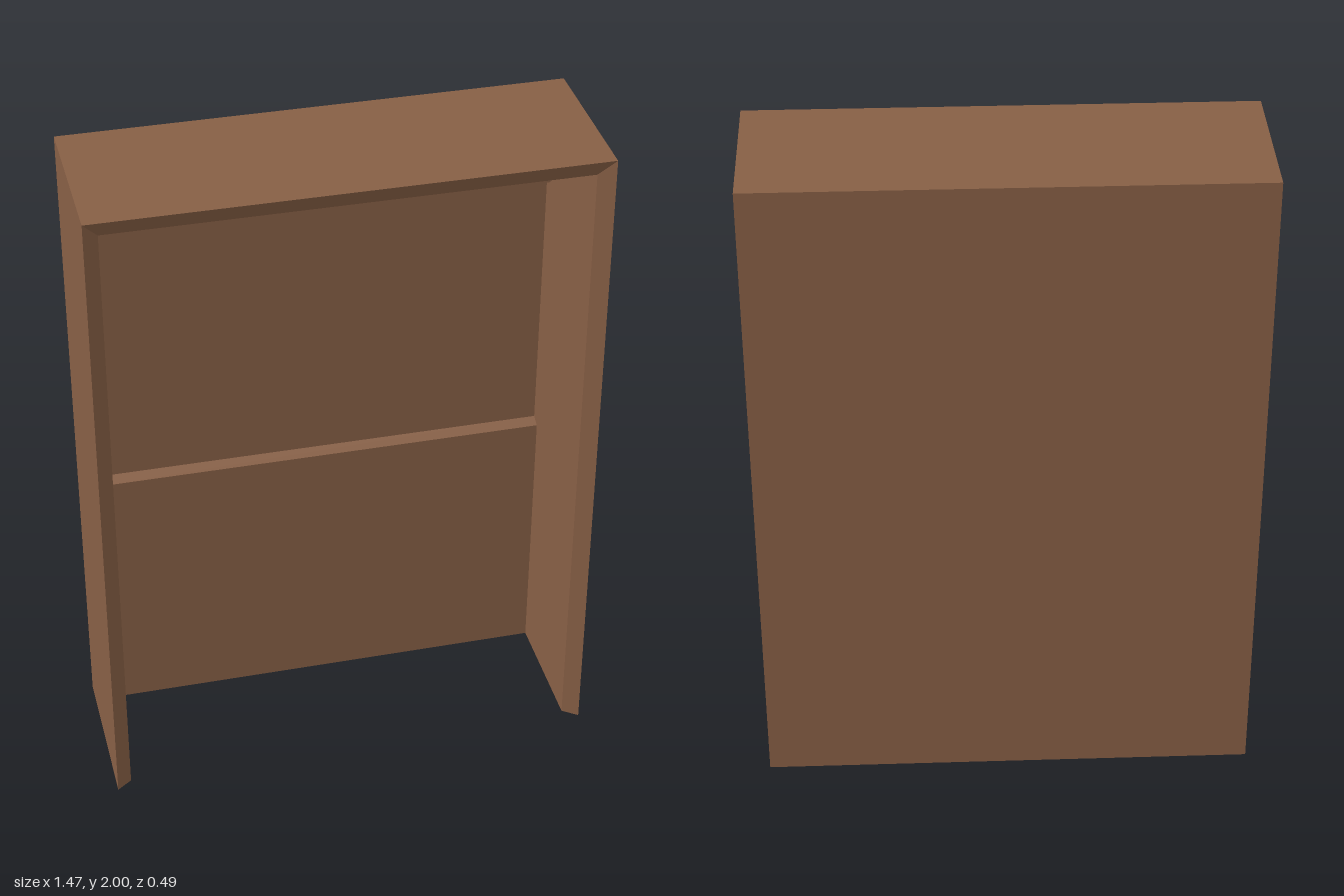
import * as THREE from 'three';

const HALF_W = 0.735, HEIGHT = 2, BACK = -0.245, FRONT = 0.245;
const JAMB = 0.045, LINTEL = 0.055, BEVEL = 0.032;

// Mitred casing: one bevelled section swept up the right jamb, across the lintel and down the left jamb
function casingGeometry() {
  // u = 0 on the outer edge, 1 on the inner edge
  const section = [[0, BACK], [0, FRONT], [1, FRONT - BEVEL], [1, BACK]];
  const stations = [[-1, 0], [-1, 1], [1, 1], [1, 0]];
  const positions = [], index = [];
  for (const [side, top] of stations) {
    for (const [u, z] of section) {
      positions.push(side * (HALF_W - JAMB * u), top * (HEIGHT - LINTEL * u), z);
    }
  }
  for (let s = 0; s < 3; s++) {
    for (let j = 0; j < 4; j++) {
      const a = s * 4 + j, b = s * 4 + (j + 1) % 4;
      index.push(a, b, b + 4, a, b + 4, a + 4);
    }
  }
  // Feet of the two jambs
  index.push(0, 2, 1, 0, 3, 2, 12, 13, 14, 12, 14, 15);
  const indexed = new THREE.BufferGeometry();
  indexed.setAttribute('position', new THREE.Float32BufferAttribute(positions, 3));
  indexed.setIndex(index);
  const geometry = indexed.toNonIndexed();
  geometry.computeVertexNormals();
  return geometry;
}

// Back panel: stepped (z, y) profile with a shallow recess, extruded across the width
function panelGeometry() {
  const face = -0.182, recess = -0.212, top = HEIGHT - LINTEL;
  const profile = [
    [BACK, 0], [face, 0], [face, 0.835], [recess, 0.85],
    [recess, 1.71], [face, 1.7], [face, top], [BACK, top],
  ];
  const shape = new THREE.Shape(profile.map(([z, y]) => new THREE.Vector2(z, y)));
  const inner = HALF_W - JAMB;
  const geometry = new THREE.ExtrudeGeometry(shape, { depth: inner * 2, bevelEnabled: false });
  geometry.rotateY(-Math.PI / 2);
  geometry.translate(inner, 0, 0);
  return geometry;
}

export function createModel() {
  const group = new THREE.Group();
  group.name = 'doorway';
  const wood = new THREE.MeshStandardMaterial({ color: 0x875f45 });
  wood.name = 'brown wood';

  const casing = new THREE.Mesh(casingGeometry(), wood);
  casing.name = 'casing';
  const panel = new THREE.Mesh(panelGeometry(), wood);
  panel.name = 'backPanel';

  group.add(casing, panel);
  return group;
}
